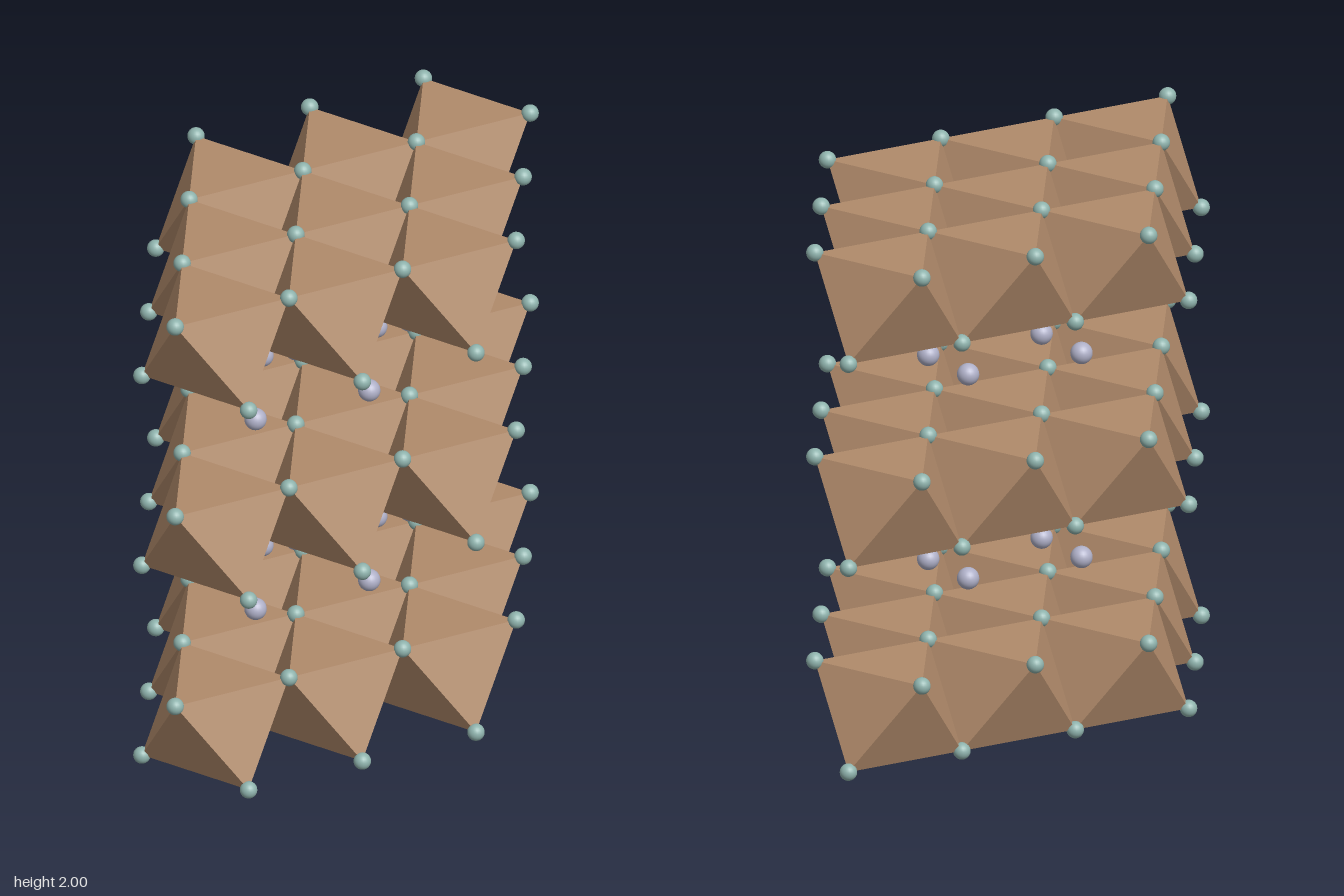
import * as THREE from 'three';
import { ConvexGeometry } from 'three/addons/geometries/ConvexGeometry.js';

const A = 0.4635;                 // spacing along a row
const ROW = A * Math.sqrt(3) / 2; // spacing between rows
const H = 0.342;                  // slab thickness
const R = 0.032;                  // corner ball radius
const PITCH = 0.797;              // distance between slabs

const brown = new THREE.MeshStandardMaterial({ color: 0xb08a6a });
brown.name = 'brown';
const teal = new THREE.MeshStandardMaterial({ color: 0x8fb3ad });
teal.name = 'greyTeal';
const lavender = new THREE.MeshStandardMaterial({ color: 0xafb0c8 });
lavender.name = 'lavenderGrey';

// Octahedron resting on a triangular face
function octahedronGeometry() {
  const points = [];
  const r = A / Math.sqrt(3);
  for (let i = 0; i < 3; i++) {
    const a = i * Math.PI * 2 / 3;
    const x = r * Math.sin(a), z = r * Math.cos(a);
    points.push(new THREE.Vector3(x, -H / 2, z), new THREE.Vector3(-x, H / 2, -z));
  }
  return new ConvexGeometry(points);
}

export function createModel() {
  const model = new THREE.Group();
  model.name = 'layeredCrystal';
  const octaGeo = octahedronGeometry();
  const cornerGeo = new THREE.SphereGeometry(R, 20, 14);
  const ionGeo = new THREE.SphereGeometry(0.041, 24, 16);

  const add = (parent, name, geometry, material, x, y, z) => {
    const mesh = new THREE.Mesh(geometry, material);
    mesh.name = name;
    mesh.position.set(x, y, z);
    parent.add(mesh);
  };

  // Three slabs of edge-sharing octahedra with balls on their corners
  for (let layer = 0; layer < 3; layer++) {
    const slab = new THREE.Group();
    slab.name = 'slab';
    slab.position.y = R + H / 2 + layer * PITCH;
    for (let r = 0; r < 3; r++) {
      for (let c = 0; c < 3; c++) {
        add(slab, 'octahedron', octaGeo, brown, (c - 1) * A + (r - 1) * A / 2, 0, (1 - r) * ROW);
      }
    }
    // The bottom corners are the top corners turned through the centre
    for (let r = 0; r < 4; r++) {
      for (let c = 0; c < (r < 3 ? 4 : 3); c++) {
        const x = (c - 2) * A + r * A / 2;
        const z = ROW * (4 / 3 - r);
        add(slab, 'topCornerBall', cornerGeo, teal, x, H / 2, z);
        add(slab, 'bottomCornerBall', cornerGeo, teal, -x, -H / 2, -z);
      }
    }
    model.add(slab);
  }

  // Loose balls in the two gaps, on a lower and an upper level
  for (let gap = 0; gap < 2; gap++) {
    const ions = new THREE.Group();
    ions.name = 'gapBalls';
    ions.position.y = 0.607 + gap * PITCH;
    for (let r = 0; r < 2; r++) {
      for (let c = 0; c < 2; c++) {
        const x = (c - 1) * A + r * A / 2;
        const z = ROW * (2 / 3 - r);
        add(ions, 'lowerGapBall', ionGeo, lavender, x, -0.082, z);
        add(ions, 'upperGapBall', ionGeo, lavender, -x, 0.082, -z);
      }
    }
    model.add(ions);
  }
  return model;
}
